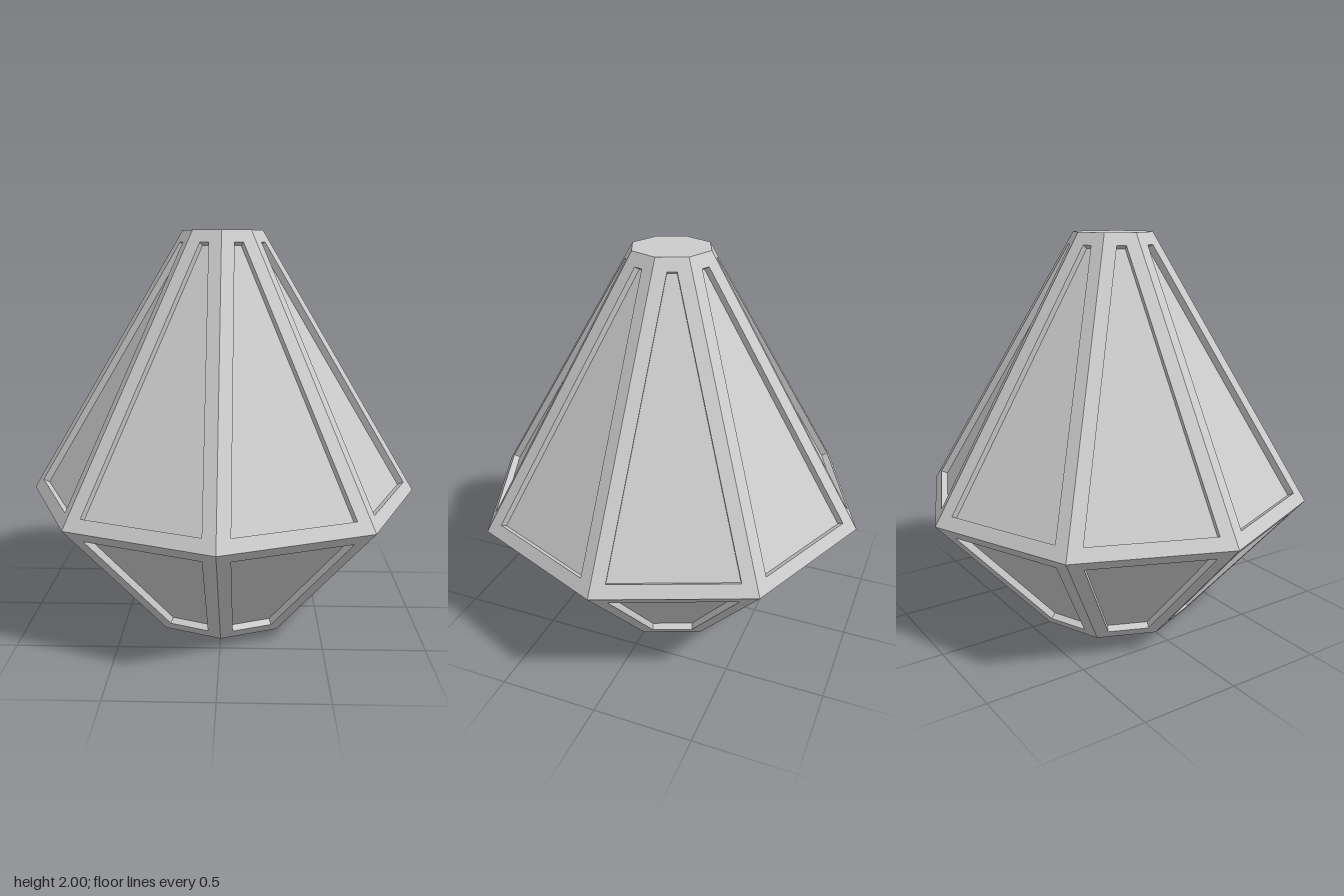
import * as THREE from 'three';

const SIDES = 8, STEP = Math.PI * 2 / SIDES;
const BORDER = 0.067, DEPTH = 0.034;
const WAIST_Y = 2 / 3, BASE_R = 0.4, WAIST_R = 1, TOP_R = 0.2;

// One frame facet facing +z: a border around an opening, plus the opening's inward lips
function facetGeometry(r0, y0, r1, y1) {
  const corner = (r, y, side) => new THREE.Vector3(
    side * r * Math.sin(STEP / 2), y, r * Math.cos(STEP / 2));
  const outer = [corner(r0, y0, -1), corner(r0, y0, 1), corner(r1, y1, 1), corner(r1, y1, -1)];
  const up = corner(r1, y1, 0).sub(corner(r0, y0, 0));
  const t = BORDER / up.length();
  const normal = new THREE.Vector3(1, 0, 0).cross(up).normalize();
  const hole = [[t, -1], [t, 1], [1 - t, 1], [1 - t, -1]].map(([f, side]) => {
    const p = corner(r0 + (r1 - r0) * f, y0 + (y1 - y0) * f, side);
    p.x -= side * BORDER;
    return p;
  });
  const floor = hole.map(p => p.clone().addScaledVector(normal, -DEPTH));

  const pos = [];
  const quad = (a, b, c, d) => [a, b, c, a, c, d].forEach(p => pos.push(p.x, p.y, p.z));
  for (let i = 0; i < 4; i++) {
    const j = (i + 1) % 4;
    quad(outer[i], outer[j], hole[j], hole[i]);
    quad(hole[i], hole[j], floor[j], floor[i]);
  }
  const g = new THREE.BufferGeometry();
  g.setAttribute('position', new THREE.Float32BufferAttribute(pos, 3));
  g.computeVertexNormals();
  return g;
}

export function createModel() {
  const model = new THREE.Group();
  model.name = 'facetedLantern';
  const mat = new THREE.MeshStandardMaterial({
    color: 0xcccccc, flatShading: true, side: THREE.DoubleSide });
  const add = (name, geometry, parent = model) => {
    const mesh = new THREE.Mesh(geometry, mat);
    mesh.name = name;
    parent.add(mesh);
    return mesh;
  };

  // Upper and lower frame facets, repeated around the axis
  const tiers = [
    ['lowerFrame', facetGeometry(BASE_R, 0, WAIST_R, WAIST_Y)],
    ['upperFrame', facetGeometry(WAIST_R, WAIST_Y, TOP_R, 2)],
  ];
  for (const [name, geometry] of tiers) {
    const tier = new THREE.Group();
    tier.name = name;
    model.add(tier);
    for (let i = 0; i < SIDES; i++) {
      add(name + 'Facet', geometry, tier).rotation.y = (i + 0.5) * STEP;
    }
  }

  // Recessed panes: one hollow inner shell, open at the base
  const profile = [[0.352, 0], [0.9556, 0.671], [0.1787, 2 - DEPTH], [0, 2 - DEPTH]]
    .map(([r, y]) => new THREE.Vector2(r, y));
  add('innerPanes', new THREE.LatheGeometry(profile, SIDES));

  // Flat cap on top and the rim around the base opening
  const cap = add('topCap', new THREE.CircleGeometry(TOP_R, SIDES));
  cap.rotation.x = -Math.PI / 2;
  cap.position.y = 2;
  add('baseRim', new THREE.RingGeometry(0.352, BASE_R, SIDES)).rotation.x = Math.PI / 2;

  return model;
}
